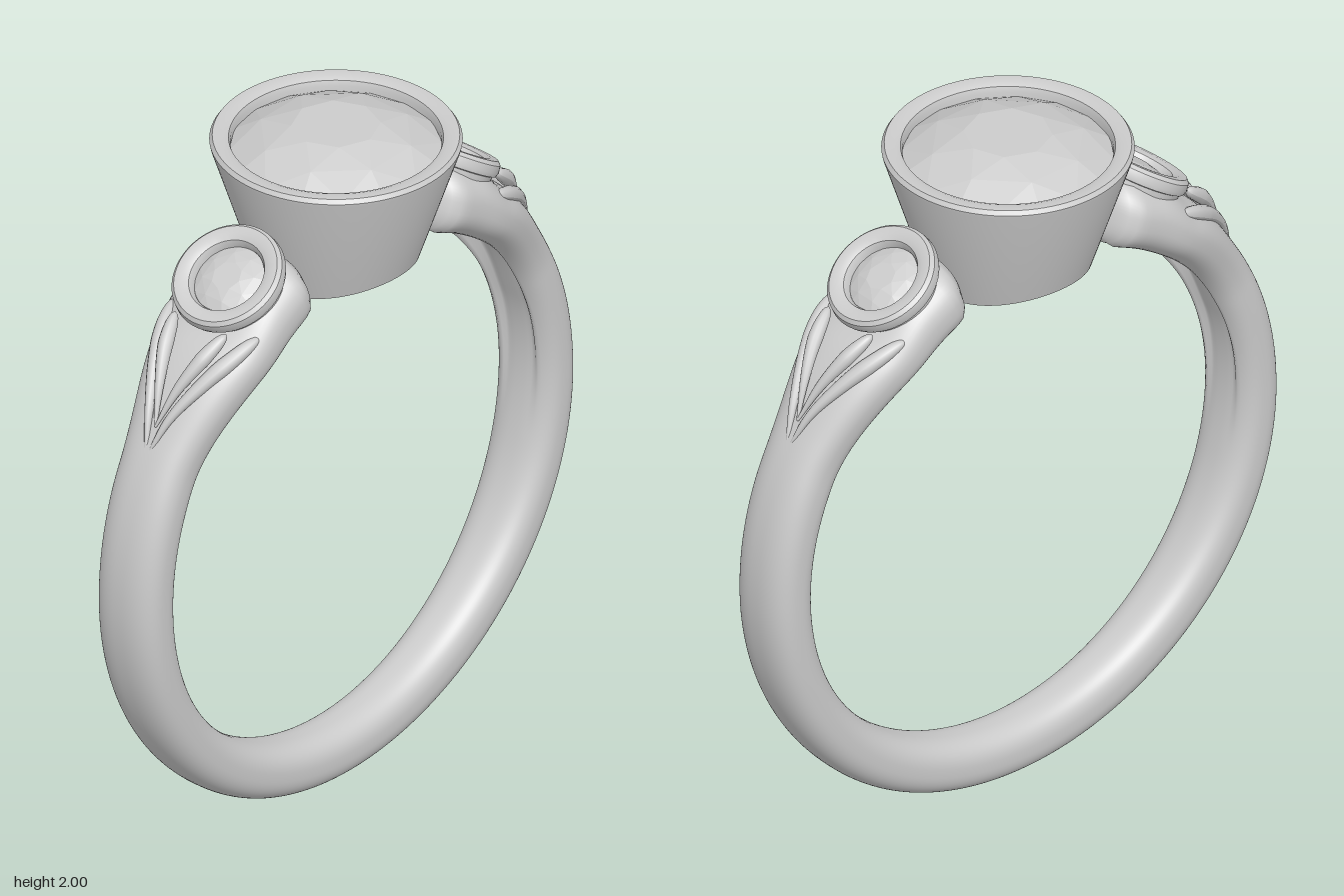
import * as THREE from 'three';
import { toCreasedNormals } from 'three/addons/utils/BufferGeometryUtils.js';
import { ConvexGeometry } from 'three/addons/geometries/ConvexGeometry.js';

const CENTRE_Y = 0.885, INNER_R = 0.73, RAD = Math.PI / 180;
const metal = new THREE.MeshStandardMaterial({ color: 0xcccccc });
const stone = new THREE.MeshStandardMaterial({ color: 0xcccccc, flatShading: true });

function mesh(name, geometry, material = metal) {
  const m = new THREE.Mesh(geometry, material);
  m.name = name;
  return m;
}

// Eased interpolation through [position, value] pairs
function ease(table, t) {
  let i = 0;
  while (i < table.length - 2 && t > table[i + 1][0]) i++;
  const [a, va] = table[i], [b, vb] = table[i + 1];
  return THREE.MathUtils.lerp(va, vb, THREE.MathUtils.smoothstep(t, a, b));
}

const halfWidth = [[0, 0.08], [90, 0.104], [116, 0.106], [148, 0.18], [156, 0.178], [162, 0.165]];
const outerR = [[0, 0.885], [90, 0.88], [122, 0.885], [142, 0.902], [153, 0.935], [162, 0.945]];
const grooveDepth = [[0, 0], [75, 0], [110, 0.025], [150, 0.085], [156, 0.07], [160, 0]];

// Band: a rounded section swept from shoulder to shoulder, angle measured from the bottom
function bandGeometry() {
  const END = 163, N = 220, M = 64, pos = [], index = [];
  const power = v => Math.sign(v) * Math.abs(v) ** 0.8;
  for (let i = 0; i <= N; i++) {
    const deg = -END + (2 * END * i) / N, d = Math.abs(deg);
    const t = Math.max(0, (d - END + 5) / 5);
    const close = Math.sqrt(Math.max(0, 1 - t * t));          // rounds off the two ends
    const ro = ease(outerR, d), w = ease(halfWidth, d) * close;
    const mid = (ro + INNER_R) / 2, h = ((ro - INNER_R) / 2) * close;
    for (let j = 0; j < M; j++) {
      const a = (j / M) * Math.PI * 2, z = w * power(Math.sin(a));
      let r = mid + h * power(Math.cos(a));
      // Hollow along the inside of the shoulders
      if (Math.cos(a) < 0) r += ease(grooveDepth, d) * close * (1 - THREE.MathUtils.smoothstep(Math.abs(z), w * 0.42, w * 0.62));
      pos.push(r * Math.sin(deg * RAD), CENTRE_Y - r * Math.cos(deg * RAD), z);
      if (i < N) {
        const k = (j + 1) % M, p = i * M + j, q = i * M + k;
        index.push(p, p + M, q, q, p + M, q + M);
      }
    }
  }
  const g = new THREE.BufferGeometry();
  g.setAttribute('position', new THREE.Float32BufferAttribute(pos, 3));
  g.setIndex(index);
  g.computeVertexNormals();
  return g;
}

function lathe(points, segments, crease = 0.6) {
  const g = new THREE.LatheGeometry(points.map(([r, y]) => new THREE.Vector2(r, y)), segments);
  return toCreasedNormals(g, crease);
}

// Round brilliant-cut stone with its girdle at y = 0
function gemGeometry(radius, crown, pavilion) {
  const pts = [new THREE.Vector3(0, -pavilion, 0)];
  const ring = (n, r, y, turn) => {
    for (let i = 0; i < n; i++) {
      const a = ((i + turn) / n) * Math.PI * 2;
      pts.push(new THREE.Vector3(r * Math.cos(a), y, r * Math.sin(a)));
    }
  };
  ring(8, radius * 0.42, crown, 0);
  ring(8, radius * 0.74, crown * 0.62, 0.5);
  ring(16, radius, 0, 0);
  ring(8, radius * 0.55, -pavilion * 0.52, 0.5);
  return new ConvexGeometry(pts);
}

// Ridge along the band's outer face, thin at both ends; points are [angle, radius, z]
function ridgeGeometry(points, thickness) {
  const curve = new THREE.CatmullRomCurve3(points.map(([deg, r, z]) =>
    new THREE.Vector3(r * Math.cos(deg * RAD), CENTRE_Y + r * Math.sin(deg * RAD), z)));
  const n = 40, g = new THREE.TubeGeometry(curve, n, thickness, 12);
  const p = g.attributes.position, v = new THREE.Vector3();
  for (let i = 0; i < p.count; i++) {
    const t = Math.floor(i / 13) / n, c = curve.getPointAt(t);
    const taper = Math.min(1, 0.15 + t * 1.2) * Math.sqrt(Math.max(0, 1 - t ** 8));
    v.fromBufferAttribute(p, i).sub(c).multiplyScalar(taper).add(c);
    p.setXYZ(i, v.x, v.y, v.z);
  }
  g.computeVertexNormals();
  return g;
}

// Tilted side setting with the V-shaped ridges below it
function shoulder(name) {
  const group = new THREE.Group();
  group.name = name;
  const setting = new THREE.Group();
  setting.name = 'sideSetting';
  setting.position.set(0.445, 1.74, 0);
  setting.rotation.z = -33 * RAD;
  const cup = mesh('sideBezel', lathe([
    [0.02, -0.15], [0.125, -0.15], [0.142, -0.09], [0.148, -0.045], [0.156, -0.042], [0.16, -0.03],
    [0.157, -0.01], [0.147, 0], [0.125, 0], [0.108, -0.008], [0.1, -0.025], [0.1, -0.06], [0.02, -0.15]], 64));
  const gem = mesh('sideStone', gemGeometry(0.102, 0.022, 0.08), stone);
  gem.position.y = -0.032;
  setting.add(cup, gem);
  group.add(setting);
  for (const s of [1, -1]) {
    group.add(mesh('outerRidge', ridgeGeometry(
      [[29, 0.876, 0], [37, 0.893, 0.035 * s], [45, 0.893, 0.085 * s], [52, 0.885, 0.128 * s], [57, 0.875, 0.15 * s]], 0.024)));
    group.add(mesh('innerRidge', ridgeGeometry(
      [[35, 0.888, 0], [42, 0.91, 0.03 * s], [48, 0.922, 0.062 * s], [54, 0.925, 0.09 * s]], 0.022)));
  }
  return group;
}

// Tapered centre bezel, its foot curved to follow the finger hole
function centreBezelGeometry() {
  const g = new THREE.LatheGeometry([
    [0.125, 1.6], [0.222, 1.6], [0.334, 1.945], [0.336, 1.955], [0.328, 1.967], [0.3, 1.967],
    [0.285, 1.96], [0.28, 1.945], [0.28, 1.9], [0.125, 1.69], [0.125, 1.6]].map(p => new THREE.Vector2(...p)), 96);
  const p = g.attributes.position;
  for (let i = 0; i < p.count; i++) {
    if (p.getY(i) < 1.61) p.setY(i, CENTRE_Y + Math.sqrt(INNER_R ** 2 - p.getX(i) ** 2));
  }
  return toCreasedNormals(g, 0.6);
}

export function createModel() {
  const ring = new THREE.Group();
  ring.name = 'ring';
  ring.add(mesh('band', bandGeometry()));
  ring.add(mesh('centreBezel', centreBezelGeometry()));
  const gem = mesh('centreStone', gemGeometry(0.284, 0.07, 0.27), stone);
  gem.position.y = 1.93;
  ring.add(gem);
  const left = shoulder('leftShoulder'), right = shoulder('rightShoulder');
  right.rotation.y = Math.PI;
  ring.add(left, right);
  return ring;
}
